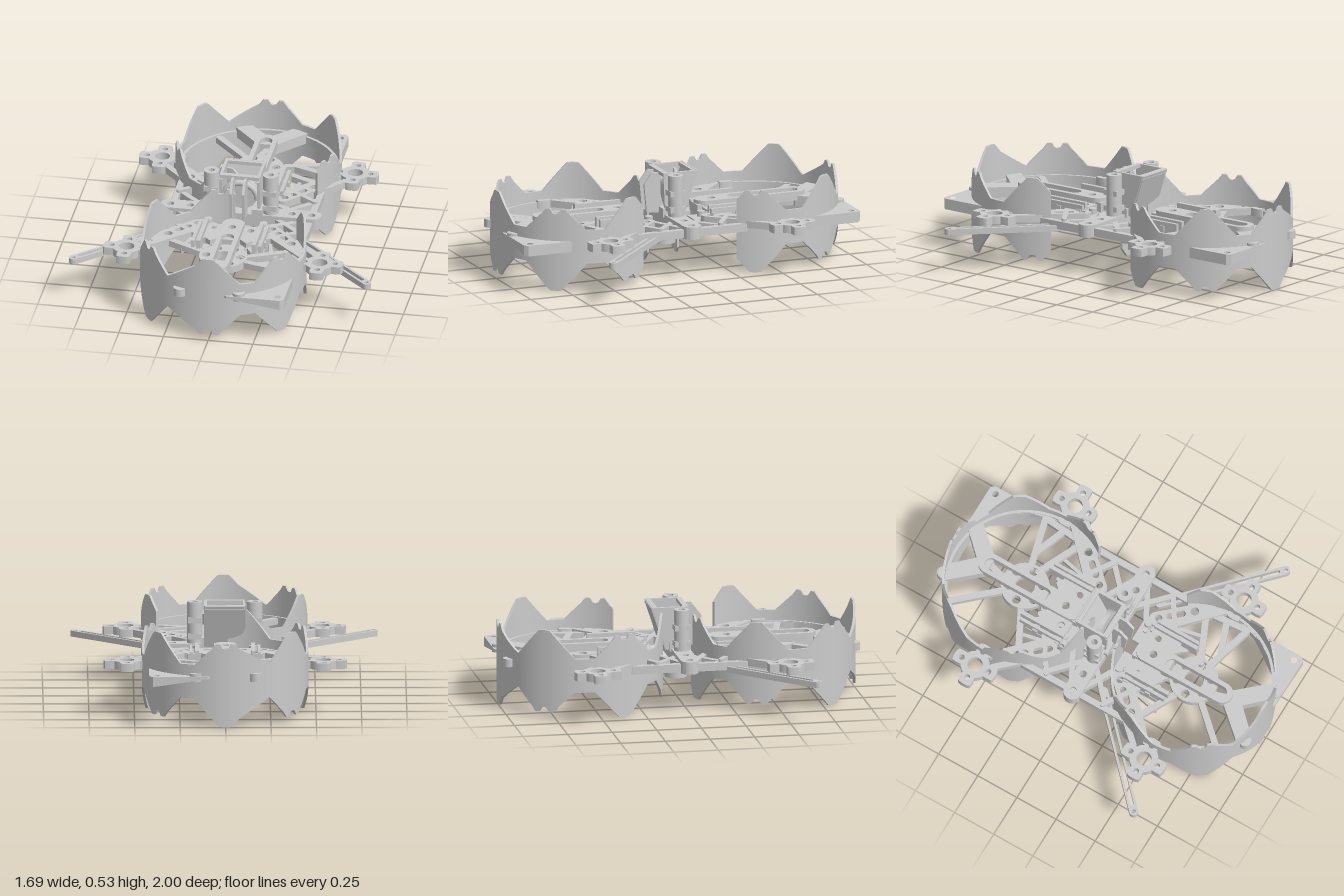
import * as THREE from 'three';
import { toCreasedNormals } from 'three/addons/utils/BufferGeometryUtils.js';

const mat = new THREE.MeshStandardMaterial({ color: 0xcccccc });
const rad = THREE.MathUtils.degToRad;

function add(parent, name, geo, x = 0, y = 0, z = 0) {
  const m = new THREE.Mesh(geo, mat);
  m.name = name;
  m.position.set(x, y, z);
  parent.add(m);
  return m;
}

const circle = (x, z, r) => new THREE.Path().absarc(x, z, r, 0, Math.PI * 2, true);
const poly = (pts) => new THREE.Shape(pts.map(([x, z]) => new THREE.Vector2(x, z)));

// Flat plate drawn in x/z and extruded between two heights
function plate(parent, name, shape, y0, y1, holes = []) {
  holes.forEach(([x, z, r]) => shape.holes.push(circle(x, z, r)));
  const g = new THREE.ExtrudeGeometry(shape, { depth: y1 - y0, bevelEnabled: false, curveSegments: 12 });
  g.rotateX(Math.PI / 2).translate(0, y1, 0);
  return add(parent, name, toCreasedNormals(g, 0.6));
}

// Upright plate drawn in z/y, centred on x
function upright(parent, name, pts, x, t) {
  const g = new THREE.ExtrudeGeometry(poly(pts), { depth: t, bevelEnabled: false });
  return add(parent, name, g.rotateY(-Math.PI / 2), x + t / 2);
}

// Round-ended outline between two points
function capsule([ax, az], [bx, bz], w, C = THREE.Shape) {
  const a = Math.atan2(bz - az, bx - ax), s = new C();
  s.absarc(ax, az, w / 2, a + Math.PI / 2, a + Math.PI * 1.5, false);
  s.absarc(bx, bz, w / 2, a - Math.PI / 2, a + Math.PI / 2, false);
  s.closePath();
  return s;
}
function bar(parent, name, a, b, w, y0, y1, holes = []) {
  return plate(parent, name, capsule(a, b, w), y0, y1, holes);
}
// Bar with a slot running between fractions t0 and t1 of its length
function slottedBar(parent, name, a, b, w, inner, t0, t1, y0, y1, holes = []) {
  const s = capsule(a, b, w);
  const lerp = (k) => [a[0] + (b[0] - a[0]) * k, a[1] + (b[1] - a[1]) * k];
  s.holes.push(capsule(lerp(t0), lerp(t1), inner, THREE.Path));
  return plate(parent, name, s, y0, y1, holes);
}

// Jagged guard edge: tall single peaks alternate with lower twin-tipped ones
const single = [[0, 0.155], [4, 0.153], [8, 0.12], [22, 0]];
const twin = [[0, 0.09], [2, 0.095], [4, 0.12], [7, 0.12], [10, 0.09], [22, 0]];
const peakAngles = [-168, -112, -54, 0, 55, 112];
function lookup(table, d) {
  for (let i = 1; i < table.length; i++) {
    const [d0, h0] = table[i - 1], [d1, h1] = table[i];
    if (d <= d1) return h0 + (h1 - h0) * (d - d0) / (d1 - d0);
  }
  return 0;
}
function jag(deg, singleFirst) {
  let h = 0;
  peakAngles.forEach((c, i) => {
    // the peak at the end of the frame is drawn out on its -x flank
    const d = c === 0 && deg < -10 ? 10 + (-deg - 10) * 12 / 21 : Math.abs(deg - c);
    h = Math.max(h, lookup((i % 2 === 0) === singleFirst ? single : twin, d));
  });
  return h;
}

// Curved wall swept as rectangular sections; mirrored for the back with s = -1
function arcWall(s, from, to, rIn, rOut, bottom, top) {
  const n = to - from, pos = [], idx = [];
  for (let i = 0; i <= n; i++) {
    const d = from + i, sn = Math.sin(rad(d)), cs = Math.cos(rad(d));
    for (const [r, y] of [[rOut, bottom(d)], [rOut, top(d)], [rIn, top(d)], [rIn, bottom(d)]])
      pos.push(r * sn, y, s * (0.54 + r * cs));
  }
  const quad = (a, b, c, d) => (s > 0 ? idx.push(a, b, c, a, c, d) : idx.push(a, c, b, a, d, c));
  for (let i = 0; i < n; i++)
    for (let k = 0; k < 4; k++) {
      const a = i * 4 + k, b = i * 4 + (k + 1) % 4;
      quad(a, a + 4, b + 4, b);
    }
  quad(0, 1, 2, 3);
  const e = n * 4;
  quad(e + 3, e + 2, e + 1, e);
  const g = new THREE.BufferGeometry();
  g.setAttribute('position', new THREE.Float32BufferAttribute(pos, 3));
  g.setIndex(idx);
  return toCreasedNormals(g, 0.5);
}

function flower(cx, cz) {
  const pts = [];
  for (let i = 0; i < 64; i++) {
    const a = i / 64 * Math.PI * 2;
    const r = 0.08 + 0.05 * THREE.MathUtils.clamp(Math.cos(4 * a) * 1.3 + 0.45, 0, 1);
    pts.push([cx + r * Math.cos(a), cz + r * Math.sin(a)]);
  }
  return poly(pts);
}

// Corner plate whose underside slopes up towards the middle
function cornerPlate(g, s) {
  const m = plate(g, 'cornerPlate', poly([[0.08, s * 0.985], [0.1, s], [0.4, s], [0.42, s * 0.98],
    [0.42, s * 0.58], [0.38, s * 0.74], [0.29, s * 0.87]]), 0.225, 0.285, [[0.38, s * 0.955, 0.018]]);
  const p = m.geometry.attributes.position;
  for (let i = 0; i < p.count; i++)
    if (p.getY(i) < 0.25) p.setY(i, 0.275 - 0.05 * (p.getX(i) - 0.08) / 0.34);
  m.geometry.computeVertexNormals();
}

// One end of the frame: guard, hub, spokes and corner plate
function buildEnd(s) {
  const g = new THREE.Group();
  g.name = s > 0 ? 'frontEnd' : 'backEnd';
  add(g, 'ringGuard', arcWall(s, -178, 125, 0.444, 0.458,
    (d) => 0.157 - jag(d, s > 0), (d) => 0.347 + jag(d, s < 0)));
  add(g, 'ringLedge', arcWall(s, -135, 125, 0.428, 0.446, () => 0.24, () => 0.29));
  cornerPlate(g, s);

  const hub = new THREE.Shape();
  hub.absarc(0, s * 0.54, 0.135, 0, Math.PI * 2, false);
  const holes = [[0, s * 0.54, 0.055]];
  for (let i = 0; i < 6; i++) {
    const a = i * Math.PI / 3;
    holes.push([0.095 * Math.cos(a), s * 0.54 + 0.095 * Math.sin(a), 0.024]);
  }
  plate(g, 'hub', hub, 0.25, 0.29, holes);
  const spokes = [[0.11, 0.57, 0.42, 0.65], [0.11, 0.52, 0.39, 0.39], [0.2, 0.59, 0.39, 0.52],
    [-0.08, 0.63, -0.28, 0.85], [-0.11, 0.5, -0.38, 0.36], [-0.02, 0.66, 0.02, 0.8], [0.38, 0.4, 0.4, 0.64]];
  for (const [ax, az, bx, bz] of spokes) bar(g, 'spoke', [ax, s * az], [bx, s * bz], 0.036, 0.25, 0.285);
  slottedBar(g, 'centreRail', [0, s * 0.24], [0, s * (s > 0 ? 0.72 : 0.77)], 0.12, 0.068, 0.33, 0.98, 0.285, 0.335,
    [[0, s * 0.28, 0.022]]);

  for (const m of [-1, 1]) {
    // forked end strut, pinned through the guard
    plate(g, 'endStrut', poly([[0, s * 0.76], [m * 0.05, s * 0.76], [m * 0.2, s * 0.93],
      [m * 0.12, s * 0.975], [0, s * 0.85]]), 0.25, 0.31);
    add(g, 'strutPin', new THREE.CylinderGeometry(0.035, 0.035, 0.045, 20), m * 0.165, 0.278, s * 0.965);

    // diagonal arm and motor mount
    const mx = m * 0.54, mz = s * 0.54, mh = [[mx, mz, 0.042]];
    for (const [dx, dz] of [[1, 0], [-1, 0], [0, 1], [0, -1]]) mh.push([mx + dx * 0.085, mz + dz * 0.085, 0.016]);
    plate(g, 'motorMount', flower(mx, mz), 0.255, 0.3, mh);
    bar(g, 'armStrand', [m * 0.45, s * 0.5], [m * 0.14, s * 0.2], 0.034, 0.255, 0.295);
    bar(g, 'armStrand', [m * 0.5, s * 0.45], [m * 0.37, s * 0.31], 0.034, 0.255, 0.295);
    slottedBar(g, 'armCore', [m * 0.4, s * 0.4], [m * 0.2, s * 0.18], 0.08, 0.035, 0.5, 0.75, 0.255, 0.295,
      [[m * 0.345, s * 0.34, 0.024], [m * 0.21, s * 0.19, 0.02]]);
    bar(g, 'armBrace', [m * 0.2, s * 0.3], [m * 0.38, s * 0.18], 0.028, 0.255, 0.295);

    // equipment tray side with cut-outs, and its upright ribs
    plate(g, 'traySide', poly([[m * 0.04, s * 0.12], [m * 0.2, s * 0.12], [m * 0.2, s * 0.42],
      [m * 0.13, s * 0.42], [m * 0.1, s * 0.37], [m * 0.04, s * 0.42]]), 0.22, 0.26,
    [[m * 0.15, s * 0.16, 0.02], [m * 0.13, s * 0.25, 0.032], [m * 0.08, s * 0.33, 0.02]]);
    plate(g, 'trayCover', poly([[m * 0.06, s * 0.2], [m * 0.15, s * 0.2], [m * 0.15, s * 0.36],
      [m * 0.1, s * 0.4], [m * 0.06, s * 0.36]]), 0.275, 0.305, [[m * 0.1, s * 0.25, 0.02]]);
    add(g, 'trayRib', new THREE.BoxGeometry(0.022, 0.1, 0.27), m * 0.155, 0.285, s * 0.335);
    add(g, 'trayRib', new THREE.BoxGeometry(0.018, 0.08, 0.26), m * 0.187, 0.285, s * 0.33);
    for (const z of [0.22, 0.36])
      add(g, 'ribClamp', new THREE.BoxGeometry(0.08, 0.035, 0.03), m * 0.165, 0.285, s * z);
    add(g, 'standoff', new THREE.CylinderGeometry(0.022, 0.022, 0.12, 16), m * 0.155, 0.25, s * 0.155);
    bar(g, 'trayLink', [m * 0.22, s * 0.3], [m * 0.25, s * 0.44], 0.02, 0.235, 0.265);
  }
  for (const z of [0.2, 0.37])
    add(g, 'trayBlock', new THREE.BoxGeometry(0.11, 0.12, 0.05), 0, 0.255, s * z);
  return g;
}

// Central tower with posts, cradle and underslung barrel
function buildTower() {
  const g = new THREE.Group();
  g.name = 'tower';
  for (const m of [-1, 1]) {
    const post = new THREE.Shape();
    post.absarc(m * 0.165, 0, 0.043, 0, Math.PI * 2, false);
    plate(g, 'post', post, 0.25, 0.53, [[m * 0.165, 0, 0.018]]);
    for (const y of [0.34, 0.43]) add(g, 'postBand', new THREE.BoxGeometry(0.075, 0.03, 0.09), m * 0.165, y, 0);
    add(g, 'bracketFoot', new THREE.BoxGeometry(0.06, 0.05, 0.12), m * 0.1, 0.31, 0);
    upright(g, 'cradleCheek', [[0.04, 0.3], [0.05, 0.5], [0.03, 0.53], [-0.155, 0.53], [-0.075, 0.29]], m * 0.105, 0.016);
    upright(g, 'frontTab', [[0.04, 0.29], [0.12, 0.3], [0.135, 0.46], [0.09, 0.52], [0.04, 0.52]], m * 0.035, 0.014);
  }
  const back = add(g, 'cradleBack', new THREE.BoxGeometry(0.21, 0.25, 0.016), 0, 0.41, -0.112);
  back.rotation.x = -0.32;
  for (const z of [0.035, -0.14]) add(g, 'cradleTop', new THREE.BoxGeometry(0.22, 0.02, 0.03), 0, 0.52, z);
  // arched hoop facing forwards
  add(g, 'hoop', new THREE.TorusGeometry(0.095, 0.018, 10, 32, Math.PI), 0, 0.38, 0.02);
  add(g, 'cradleDrum', new THREE.CylinderGeometry(0.09, 0.09, 0.03, 32).rotateX(Math.PI / 2), 0, 0.39, -0.03);
  add(g, 'barrel', new THREE.CylinderGeometry(0.04, 0.058, 0.09, 28), 0, 0.205, 0);
  add(g, 'barrelCap', new THREE.CylinderGeometry(0.062, 0.062, 0.05, 28), 0, 0.137, 0);
  return g;
}

export function createModel() {
  const root = new THREE.Group();
  root.name = 'frame';
  root.add(buildEnd(1), buildEnd(-1), buildTower());

  // Cross beam and side rails
  const beamHoles = [];
  for (const m of [-1, 1]) for (const x of [0.09, 0.285, 0.395]) beamHoles.push([m * x, 0, 0.02]);
  bar(root, 'crossBeam', [-0.4, 0], [0.4, 0], 0.1, 0.23, 0.3, beamHoles);
  for (const m of [-1, 1]) {
    bar(root, 'sideRail', [m * 0.39, -0.32], [m * 0.39, 0.32], 0.035, 0.235, 0.28);
    for (const s of [-1, 1]) {
      bar(root, 'beamBrace', [m * 0.12, s * 0.16], [m * 0.38, s * 0.02], 0.03, 0.235, 0.28);
      bar(root, 'beamBrace', [m * 0.2, s * 0.03], [m * 0.37, s * 0.19], 0.03, 0.235, 0.28);
    }
    // Long slotted outrigger
    slottedBar(root, 'outrigger', [m * 0.3, 0.14], [m * 0.82, 0.64], 0.05, 0.022, 0.06, 0.94, 0.222, 0.255,
      [[m * 0.82, 0.64, 0.011]]);
  }
  return root;
}
